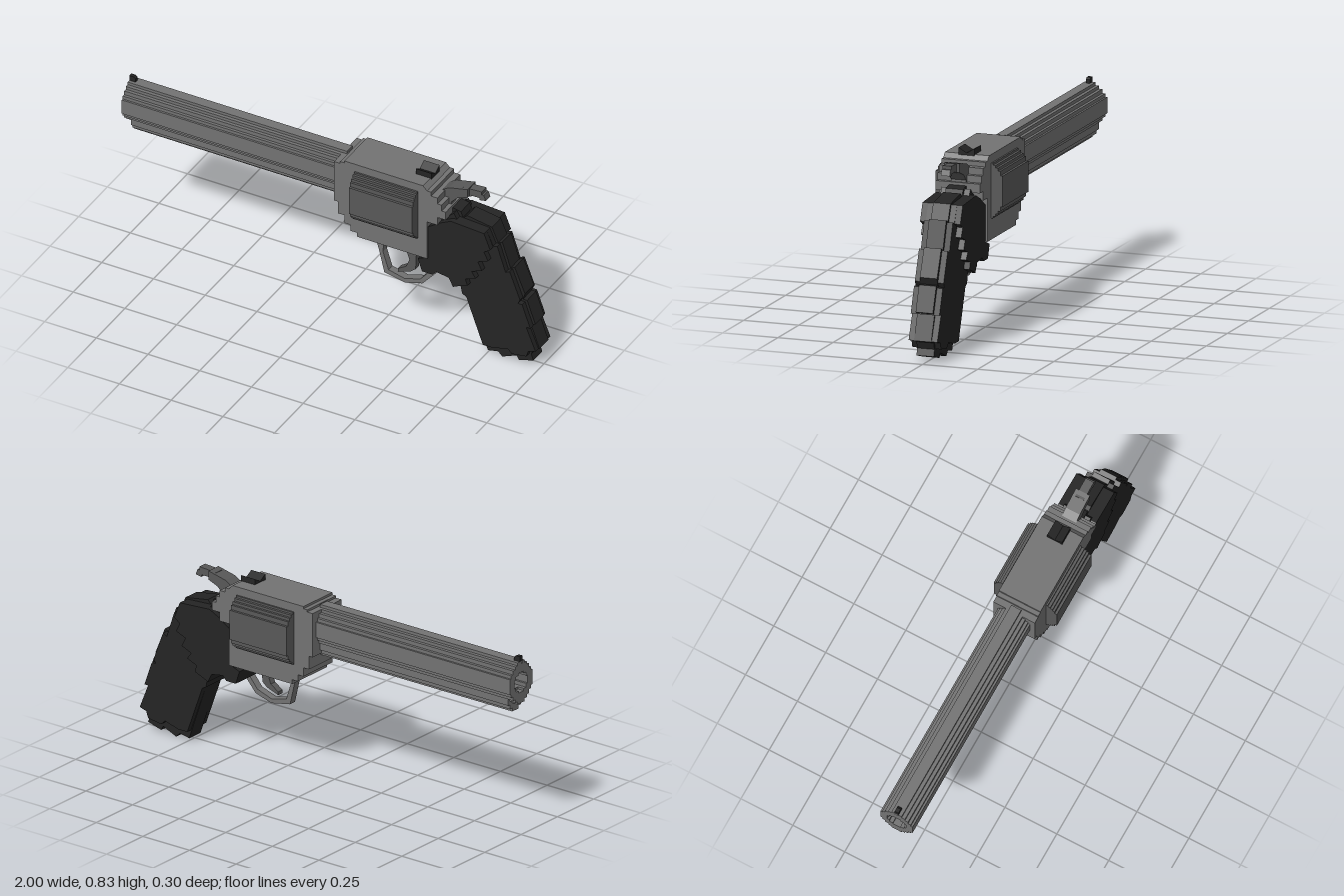
import * as THREE from 'three';

const mat = (color) => new THREE.MeshStandardMaterial({ color, flatShading: true });
const steel = mat(0x727272), darkSteel = mat(0x585858), black = mat(0x242424);

const toShape = (pts) => new THREE.Shape(pts.map(([a, b]) => new THREE.Vector2(a, b)));

// Side profile in x/y, extruded between two z values
function plate(name, pts, z0, z1, material) {
  const geo = new THREE.ExtrudeGeometry(toShape(pts), { depth: z1 - z0, bevelEnabled: false });
  geo.translate(0, 0, z0);
  const mesh = new THREE.Mesh(geo, material);
  mesh.name = name;
  return mesh;
}

// Cross-section in z/y, extruded between two x values
function bar(name, pts, x0, x1, y, material, hole) {
  const shape = toShape(pts);
  if (hole) shape.holes.push(toShape(hole));
  const geo = new THREE.ExtrudeGeometry(shape, { depth: x1 - x0, bevelEnabled: false });
  geo.rotateY(Math.PI / 2);
  geo.translate(x0, y, 0);
  const mesh = new THREE.Mesh(geo, material);
  mesh.name = name;
  return mesh;
}

// Stair-stepped round outline from [halfWidth, halfHeight] pairs, widest first
function stepped(levels) {
  const q = [];
  levels.forEach(([w, h], i) => {
    if (i > 0) q.push([w, levels[i - 1][1]]);
    q.push([w, h]);
  });
  const r = [...q].reverse();
  return [
    ...q,
    ...r.map(([w, h]) => [-w, h]),
    ...q.map(([w, h]) => [-w, -h]),
    ...r.map(([w, h]) => [w, -h]),
  ];
}

export function createModel() {
  const group = new THREE.Group();
  group.name = 'revolver';

  // Hollow barrel with the lug below it
  group.add(bar('barrel',
    stepped([[.077, .035], [.068, .05], [.055, .068], [.04, .082], [.024, .095]]),
    -1, .06, .698, steel,
    stepped([[.045, .018], [.035, .035], [.018, .045]])));
  group.add(bar('barrelLug', stepped([[.05, .015], [.038, .035], [.022, .05]]), -.97, .1, .613, steel));

  // Frame with stepped corners
  group.add(plate('frame', [
    [.04, .58], [.04, .78], [.07, .78], [.07, .79], [.09, .79], [.09, .8], [.47, .8],
    [.49, .78], [.51, .78], [.51, .76], [.54, .76], [.54, .73], [.56, .73], [.56, .7],
    [.58, .7], [.58, .66], [.54, .66], [.54, .62], [.49, .62], [.49, .43], [.15, .43],
    [.15, .45], [.12, .45], [.12, .48], [.09, .48], [.09, .52], [.06, .52], [.06, .58],
  ], -.1, .1, steel));

  // Cartridge cylinder bulging out of both sides
  group.add(bar('cylinder',
    stepped([[.152, .067], [.141, .087], [.131, .1], [.12, .111], [.108, .12]]),
    .14, .445, .643, darkSteel));

  // Sights
  group.add(bar('rearSight',
    [[-.036, .79], [.036, .79], [.036, .826], [0, .805], [-.036, .826]], .4, .475, 0, black));
  group.add(plate('frontSight',
    [[-1, .78], [-.97, .78], [-.97, .81], [-.98, .817], [-1, .817]], -.009, .009, black));

  // Hammer: broad root and a slimmer curved spur
  group.add(plate('hammerRoot', [
    [.5, .68], [.58, .66], [.57, .71], [.6, .74], [.65, .76], [.65, .8], [.56, .78], [.51, .75],
  ], -.034, .034, darkSteel));
  group.add(plate('hammerSpur', [
    [.62, .75], [.66, .76], [.66, .765], [.7, .765], [.7, .755], [.73, .76], [.72, .785],
    [.71, .785], [.71, .8], [.62, .795],
  ], -.02, .02, darkSteel));

  // Trigger guard and trigger, set toward the front side
  group.add(plate('triggerGuard', [
    [.22, .44], [.24, .37], [.265, .265], [.365, .245], [.45, .27], [.52, .35],
    [.49, .35], [.44, .29], [.365, .265], [.285, .285], [.258, .37], [.265, .44],
  ], .033, .067, steel));
  group.add(plate('trigger', [
    [.36, .44], [.42, .44], [.415, .33], [.39, .31], [.33, .29], [.33, .305],
    [.37, .33], [.385, .37],
  ], .035, .065, darkSteel));

  // Grip in three layers, each wider one covering less
  const frontEdge = [
    [.66, .27], [.64, .28], [.63, .33], [.61, .32], [.59, .36], [.53, .37], [.51, .35],
    [.46, .35], [.44, .41], [.49, .43],
  ];
  group.add(plate('gripCore', [
    [.49, .6], [.54, .64], [.57, .69], [.62, .68], [.63, .65], [.65, .67], [.77, .65],
    [.8, .58], [.82, .59], [.86, .47], [.88, .48], [.93, .36], [.92, .33], [.94, .33],
    [.98, .22], [.96, .21], [1, .1], [.97, .09], [.96, .06], [.97, .03], [.9, .01],
    [.89, .03], [.82, 0], [.8, .02], [.75, .01], ...frontEdge,
  ], -.039, .039, black));
  group.add(plate('gripBody', [
    [.49, .59], [.55, .64], [.6, .68], [.62, .645], [.76, .645], [.79, .575], [.81, .58],
    [.85, .46], [.87, .47], [.92, .34], [.91, .32], [.93, .32], [.97, .21], [.95, .21],
    [.995, .1], [.96, .09], [.95, .06], [.88, .05], [.86, .07], [.79, .05], [.74, .05],
    ...frontEdge,
  ], -.065, .065, black));
  group.add(plate('gripCheeks', [
    [.49, .59], [.55, .63], [.6, .655], [.76, .645], [.79, .57], [.76, .55], [.78, .51],
    [.73, .49], [.75, .45], [.7, .43], [.72, .4], [.67, .38], [.68, .35], [.63, .33],
    ...frontEdge.slice(3),
  ], -.091, .091, black));

  return group;
}
